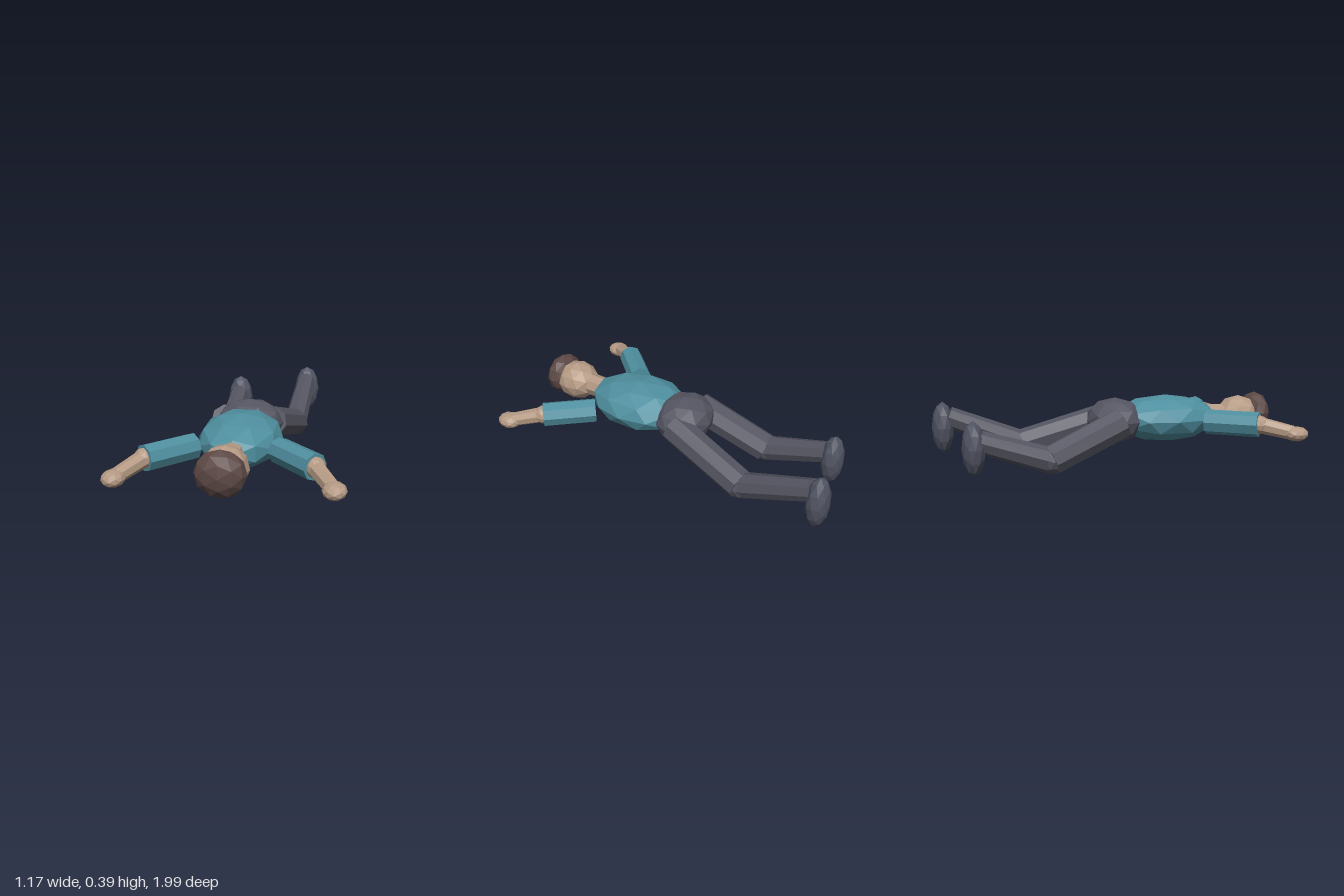
import * as THREE from 'three';

function mat(name, color) {
  const m = new THREE.MeshStandardMaterial({ color, flatShading: true });
  m.name = name;
  return m;
}

export function createModel() {
  const body = new THREE.Group();
  body.name = 'lyingFigure';
  const shirt = mat('teal shirt', 0x4f8f9f);
  const trousers = mat('grey trousers', 0x555562);
  const shoes = mat('slate shoes', 0x505362);
  const skin = mat('skin', 0xb59a84);
  const hair = mat('brown hair', 0x5c4845);
  const eyes = mat('dark eyes', 0x3a2a24);

  // Faceted ellipsoid given by centre and radii
  function blob(name, material, centre, radii, detail = 1) {
    const mesh = new THREE.Mesh(new THREE.IcosahedronGeometry(1, detail), material);
    mesh.name = name;
    mesh.position.set(...centre);
    mesh.scale.set(...radii);
    body.add(mesh);
    return mesh;
  }

  // Eight-sided limb running from a to b
  function limb(name, material, a, b, ra, rb) {
    const from = new THREE.Vector3(...a);
    const to = new THREE.Vector3(...b);
    const dir = to.clone().sub(from);
    const mesh = new THREE.Mesh(new THREE.CylinderGeometry(rb, ra, dir.length(), 8), material);
    mesh.name = name;
    mesh.position.copy(from).add(to).multiplyScalar(0.5);
    mesh.quaternion.setFromUnitVectors(new THREE.Vector3(0, 1, 0), dir.normalize());
    body.add(mesh);
  }

  // Trunk, face down with the head towards +z
  blob('torso', shirt, [0, 0.26, 0.33], [0.228, 0.137, 0.32]);
  blob('hips', trousers, [0, 0.26, 0.02], [0.193, 0.13, 0.167]);
  limb('neck', skin, [0, 0.26, 0.56], [0, 0.26, 0.74], 0.066, 0.066);
  blob('head', skin, [0, 0.26, 0.81], [0.122, 0.116, 0.135]);
  blob('hair', hair, [0, 0.275, 0.92], [0.128, 0.119, 0.08]);

  // Mirrored arms and eyes
  for (const [side, s] of [['left', 1], ['right', -1]]) {
    blob(side + 'Eye', eyes, [s * 0.047, 0.156, 0.84], [0.012, 0.012, 0.012], 0);
    const elbow = [s * 0.422, 0.258, 0.72];
    const wrist = [s * 0.515, 0.218, 0.88];
    limb(side + 'UpperArm', shirt, [s * 0.222, 0.258, 0.497], elbow, 0.07, 0.07);
    blob(side + 'Elbow', skin, elbow, [0.054, 0.054, 0.054]);
    limb(side + 'Forearm', skin, elbow, wrist, 0.046, 0.04);
    blob(side + 'Hand', skin, [s * 0.523, 0.214, 0.895], [0.06, 0.042, 0.07]);
  }

  // Legs, each bent differently
  const legs = [
    { side: 'left', hip: [0.125, 0.26, 0.01], knee: [0.215, 0.115, -0.475], ankle: [0.247, 0.285, -0.9], foot: [0.25, 0.226, -0.93] },
    { side: 'right', hip: [-0.14, 0.26, 0.01], knee: [-0.203, 0.086, -0.41], ankle: [-0.195, 0.21, -0.8], foot: [-0.193, 0.172, -0.82] },
  ];
  for (const { side, hip, knee, ankle, foot } of legs) {
    limb(side + 'Thigh', trousers, hip, knee, 0.088, 0.084);
    blob(side + 'Knee', trousers, knee, [0.075, 0.075, 0.075]);
    limb(side + 'Shin', trousers, knee, ankle, 0.072, 0.06);
    blob(side + 'Foot', shoes, foot, [0.081, 0.147, 0.063]);
  }
  return body;
}
